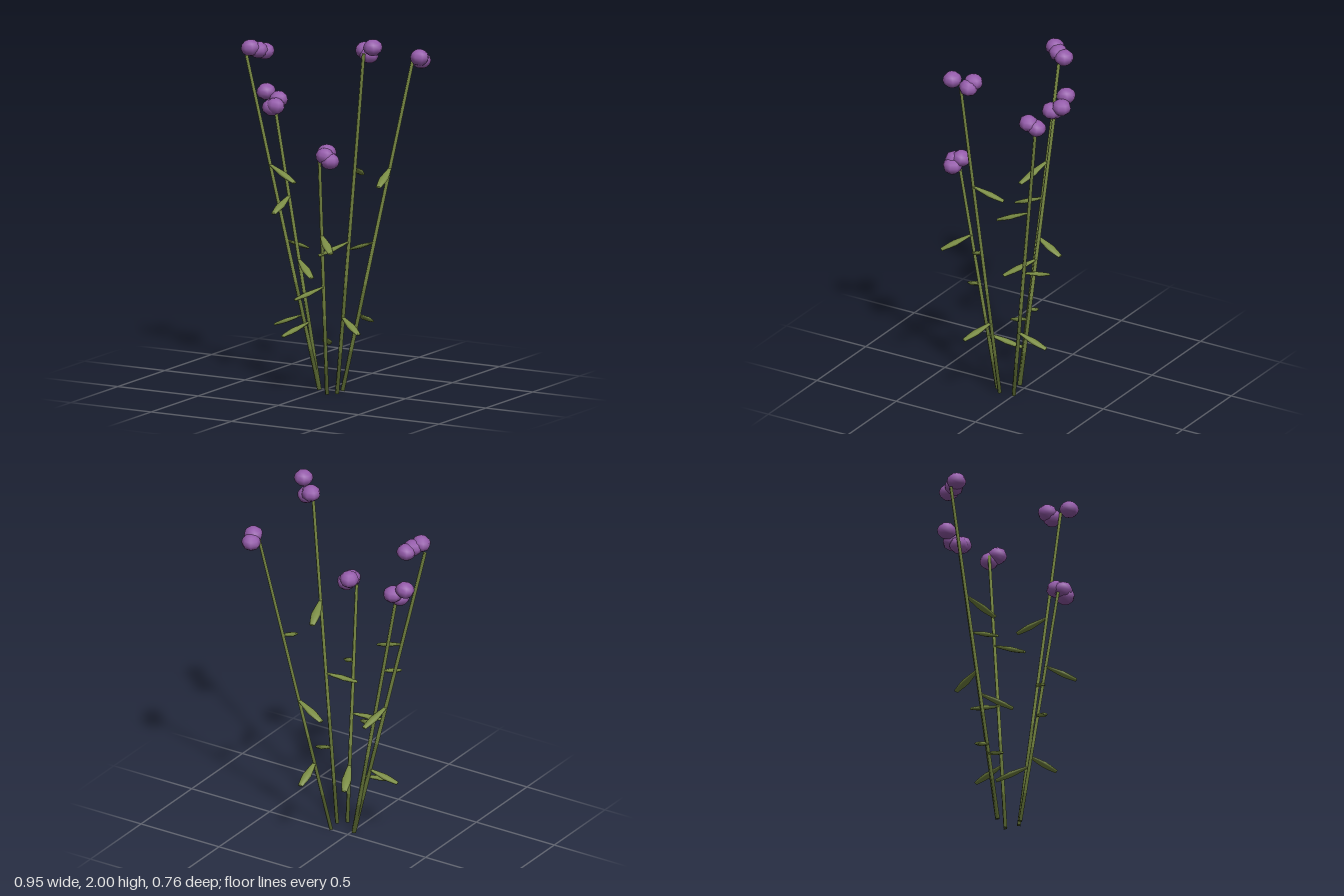
import * as THREE from 'three';

const mat = (name, color) => {
  const m = new THREE.MeshStandardMaterial({ color });
  m.name = name;
  return m;
};
const V = (a) => new THREE.Vector3(...a);

// Each stem: base, tip, leaves as [height on the stem, leaf tip], blossom centres
const STEMS = [
  { base: [-0.015, 0.003, 0.04], tip: [-0.46, 1.8, 0.055],
    leaves: [[1.21, [-0.13, 1.138, 0.105]], [0.805, [-0.18, 0.74, -0.117]], [0.405, [-0.265, 0.345, 0.085]]],
    blossoms: [[-0.427, 1.843, 0.068], [-0.4, 1.828, 0.03], [-0.385, 1.815, -0.015]] },
  { base: [-0.015, 0.003, 0.035], tip: [-0.31, 1.5, 0.0],
    leaves: [[1.04, [-0.215, 0.974, 0.183]], [0.7, [-0.007, 0.633, 0.135]], [0.365, [-0.165, 0.303, 0.175]]],
    blossoms: [[-0.385, 1.591, -0.028], [-0.316, 1.553, -0.042], [-0.328, 1.516, 0.012], [-0.302, 1.526, 0.014]] },
  { base: [0.12, 0.003, 0.08], tip: [0.35, 1.91, 0.19],
    leaves: [[1.27, [0.223, 1.203, -0.008]], [0.855, [0.105, 0.787, 0.25]], [0.43, [0.315, 0.365, 0.187]]],
    blossoms: [[0.413, 1.953, 0.2], [0.317, 1.917, 0.125], [0.35, 1.895, 0.136]] },
  { base: [0.107, 0.003, 0.0], tip: [0.37, 1.8, -0.303],
    leaves: [[1.205, [0.316, 1.136, -0.027]], [0.805, [0.05, 0.743, -0.183]], [0.415, [0.152, 0.35, -0.232]]],
    blossoms: [[0.406, 1.79, -0.328], [0.42, 1.815, -0.285]] },
  { base: [0.08, 0.003, 0.12], tip: [0.15, 1.33, 0.32],
    leaves: [[0.9, [0.25, 0.833, 0.37]], [0.61, [0.007, 0.55, 0.338]], [0.32, [0.022, 0.253, 0.0]]],
    blossoms: [[0.177, 1.368, 0.287], [0.188, 1.355, 0.325], [0.215, 1.33, 0.32]] },
];

export function createModel() {
  const model = new THREE.Group();
  model.name = 'flowerBunch';

  const stemMats = [mat('dark stem green', 0x56642f), mat('stem green', 0x6b7c3c), mat('light stem green', 0x7f9148)];
  const leafMat = mat('leaf green', 0x7b8d45);
  const petalMat = mat('purple blossom', 0x955cab);

  // Blunt-ended leaf of unit length along +y, flattened in z
  const profile = [[0, 0], [0.01, 0], [0.018, 0.25], [0.0265, 0.55], [0.0235, 0.72], [0.015, 1], [0, 1]];
  const leafGeo = new THREE.LatheGeometry(profile.map(([r, y]) => new THREE.Vector2(r, y)), 8);
  leafGeo.scale(1, 1, 0.45);
  const blossomGeo = new THREE.SphereGeometry(0.053, 8, 6);
  blossomGeo.scale(1, 0.86, 1);

  // Tapered four-sided rod between two points
  const rod = (a, b, r0, r1, material) => {
    const dir = b.clone().sub(a);
    const mesh = new THREE.Mesh(new THREE.CylinderGeometry(r1, r0, dir.length(), 4, 1, true), material);
    mesh.position.copy(a).add(b).multiplyScalar(0.5);
    mesh.quaternion.setFromUnitVectors(new THREE.Vector3(0, 1, 0), dir.normalize());
    return mesh;
  };

  STEMS.forEach((s, k) => {
    const flower = new THREE.Group();
    flower.name = 'flower' + (k + 1);
    const base = V(s.base), tip = V(s.tip);

    // Stem in three shades, darkest at the foot
    const cuts = [0, 0.12, 0.32, 1];
    const radius = (t) => 0.0125 - 0.002 * t;
    stemMats.forEach((m, i) => {
      const [t0, t1] = [cuts[i], cuts[i + 1]];
      const part = rod(base.clone().lerp(tip, t0), base.clone().lerp(tip, t1), radius(t0), radius(t1), m);
      part.name = 'stem';
      flower.add(part);
    });

    // Flat caps closing both stem ends
    [[base, -1, 0], [tip, 1, 2]].forEach(([p, sign, i]) => {
      const cap = new THREE.Mesh(new THREE.CircleGeometry(radius(i / 2), 4), stemMats[i]);
      const out = tip.clone().sub(base).normalize().multiplyScalar(sign);
      cap.name = 'stemEnd';
      cap.position.copy(p);
      cap.quaternion.setFromUnitVectors(new THREE.Vector3(0, 0, 1), out);
      flower.add(cap);
    });

    // Drooping leaves, flat side up
    s.leaves.forEach(([y, end]) => {
      const root = base.clone().lerp(tip, (y - base.y) / (tip.y - base.y));
      const along = V(end).sub(root);
      const length = along.length();
      along.normalize();
      const side = new THREE.Vector3().crossVectors(along, new THREE.Vector3(0, 1, 0)).normalize();
      const up = new THREE.Vector3().crossVectors(side, along);
      const leaf = new THREE.Mesh(leafGeo, leafMat);
      leaf.name = 'leaf';
      leaf.quaternion.setFromRotationMatrix(new THREE.Matrix4().makeBasis(side, along, up));
      leaf.scale.set(1, length, 1);
      leaf.position.copy(root);
      flower.add(leaf);
    });

    // Cluster of round blossoms
    s.blossoms.forEach((p, i) => {
      const ball = new THREE.Mesh(blossomGeo, petalMat);
      ball.name = 'blossom';
      ball.position.set(...p);
      ball.rotation.set(0.15 * Math.sin(i + k), i * 1.1 + k * 0.7, 0.15 * Math.cos(2 * i + k));
      flower.add(ball);
    });
    model.add(flower);
  });
  return model;
}
